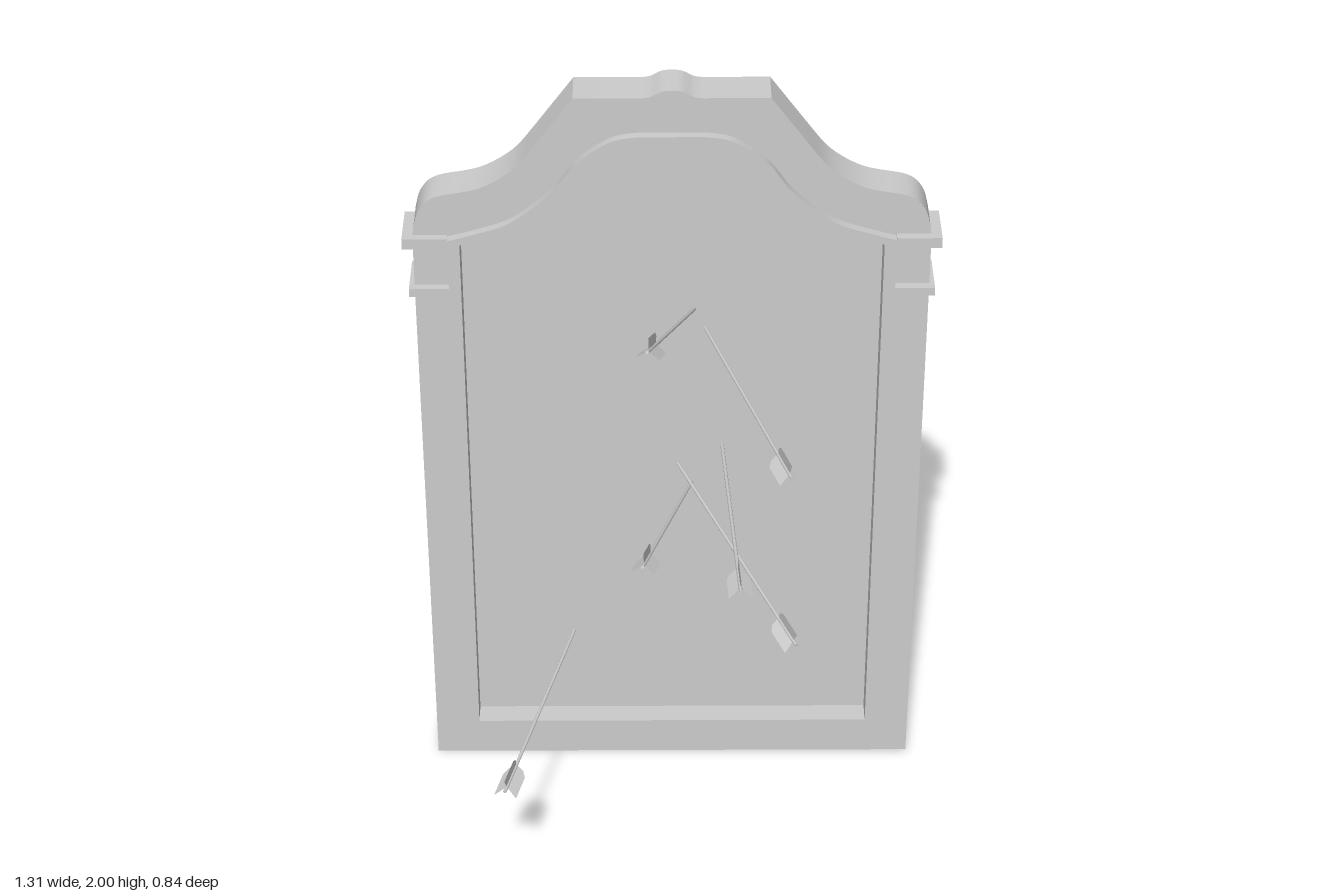
import * as THREE from 'three';
import { toCreasedNormals } from 'three/addons/utils/BufferGeometryUtils.js';

const grey = new THREE.MeshStandardMaterial({ color: 0xcccccc });
const thin = new THREE.MeshStandardMaterial({ color: 0xcccccc, side: THREE.DoubleSide });
const v2 = (p) => new THREE.Vector2(p[0], p[1]);

function add(parent, name, geometry, material = grey) {
  const mesh = new THREE.Mesh(geometry, material);
  mesh.name = name;
  parent.add(mesh);
  return mesh;
}

const smooth = (pts, n) => new THREE.SplineCurve(pts.map(v2)).getPoints(n);

// closed outline from its +x half, listed from bottom to top
function mirrored(half) {
  const other = half.filter((p) => p.x > 1e-4).map((p) => new THREE.Vector2(-p.x, p.y)).reverse();
  return [...half, ...other];
}

// strip of wall following a closed outline between two depths
function wallGeometry(outline, zBack, zFront) {
  const pos = [];
  outline.forEach((a, i) => {
    const b = outline[(i + 1) % outline.length];
    pos.push(a.x, a.y, zBack, b.x, b.y, zBack, b.x, b.y, zFront);
    pos.push(a.x, a.y, zBack, b.x, b.y, zFront, a.x, a.y, zFront);
  });
  const g = new THREE.BufferGeometry();
  g.setAttribute('position', new THREE.Float32BufferAttribute(pos, 3));
  return toCreasedNormals(g, 0.5);
}

function createArrow(tail, tip) {
  const arrow = new THREE.Group();
  arrow.name = 'arrow';
  const a = new THREE.Vector3(...tail), b = new THREE.Vector3(...tip);
  const length = a.distanceTo(b);
  arrow.position.copy(b);
  arrow.lookAt(a); // local +z runs from tip to tail

  const shaft = new THREE.CylinderGeometry(0.0045, 0.0045, length, 8);
  shaft.rotateX(Math.PI / 2).translate(0, 0, length / 2);
  add(arrow, 'shaft', shaft);

  // three swept feather vanes
  const vane = new THREE.Shape([[0, -0.105], [0.022, -0.098], [0.033, -0.08], [0.033, 0], [0, -0.018]].map(v2));
  for (let i = 0; i < 3; i++) {
    const g = new THREE.ShapeGeometry(vane);
    g.rotateX(Math.PI / 2).rotateZ(Math.PI / 2 + (i * Math.PI * 2) / 3).translate(0, 0, length);
    add(arrow, 'vane', g, thin);
  }
  return arrow;
}

export function createModel() {
  const model = new THREE.Group();
  model.name = 'archedMirrorWithArrows';

  const outer = mirrored([
    v2([0.63, 0]),
    ...smooth([[0.63, 1.6], [0.625, 1.635], [0.61, 1.68], [0.571, 1.714], [0.466, 1.737],
      [0.386, 1.785], [0.333, 1.848]], 30),
    v2([0.235, 1.98]),
    ...smooth([[0.07, 1.98], [0.05, 1.984], [0.025, 1.997], [0, 2]], 10),
  ]);
  const rimOuter = mirrored([
    v2([0.545, 0.095]),
    ...smooth([[0.545, 1.605], [0.47, 1.626], [0.386, 1.658], [0.291, 1.737], [0.228, 1.818],
      [0.148, 1.875], [0.08, 1.889]], 30),
  ]);
  const rimInner = mirrored([
    v2([0.515, 0.122]),
    ...smooth([[0.515, 1.593], [0.45, 1.607], [0.37, 1.637], [0.275, 1.713], [0.21, 1.797],
      [0.138, 1.85], [0.075, 1.862]], 30),
  ]);

  // hollow frame: front face with opening, plus the outer side wall
  const face = new THREE.Shape(outer);
  face.holes.push(new THREE.Path(rimOuter));
  add(model, 'frameFace', new THREE.ShapeGeometry(face).translate(0, 0, -0.222), thin);
  add(model, 'frameWall', wallGeometry(outer, -0.33, -0.222), thin);

  // inner moulding around the glass
  const rim = new THREE.Shape(rimOuter);
  rim.holes.push(new THREE.Path(rimInner));
  const rimGeo = new THREE.ExtrudeGeometry(rim, { depth: 0.122, bevelEnabled: false });
  add(model, 'innerMoulding', toCreasedNormals(rimGeo.translate(0, 0, -0.32), 0.5));

  add(model, 'glass', new THREE.ShapeGeometry(new THREE.Shape(rimInner)).translate(0, 0, -0.26), thin);

  // trim bands wrapping front and side of each upright: [outer x, y, height]
  for (const side of [-1, 1]) {
    for (const [x, y, h] of [[0.655, 1.595, 0.028], [0.643, 1.458, 0.022]]) {
      const front = add(model, 'trimFront', new THREE.BoxGeometry(x - 0.545, h, 0.024));
      front.position.set((side * (x + 0.545)) / 2, y, -0.212);
      const flank = add(model, 'trimSide', new THREE.BoxGeometry(x - 0.628, h, 0.112));
      flank.position.set((side * (x + 0.628)) / 2, y, -0.279);
    }
  }

  // arrows stuck through the glass: tail, tip
  const arrows = [
    [[-0.06, 1.583, 0.27], [0.09, 1.31, -0.42]],
    [[0.275, 1.318, 0.4], [0.068, 1.318, -0.31]],
    [[-0.073, 1.05, 0.38], [0.06, 0.838, -0.31]],
    [[0.16, 1.0, 0.415], [0.125, 0.965, -0.31]],
    [[0.295, 0.838, 0.41], [-0.005, 0.915, -0.31]],
    [[-0.42, 0.355, 0.375], [-0.235, 0.382, -0.35]],
  ];
  for (const [tail, tip] of arrows) model.add(createArrow(tail, tip));

  return model;
}
